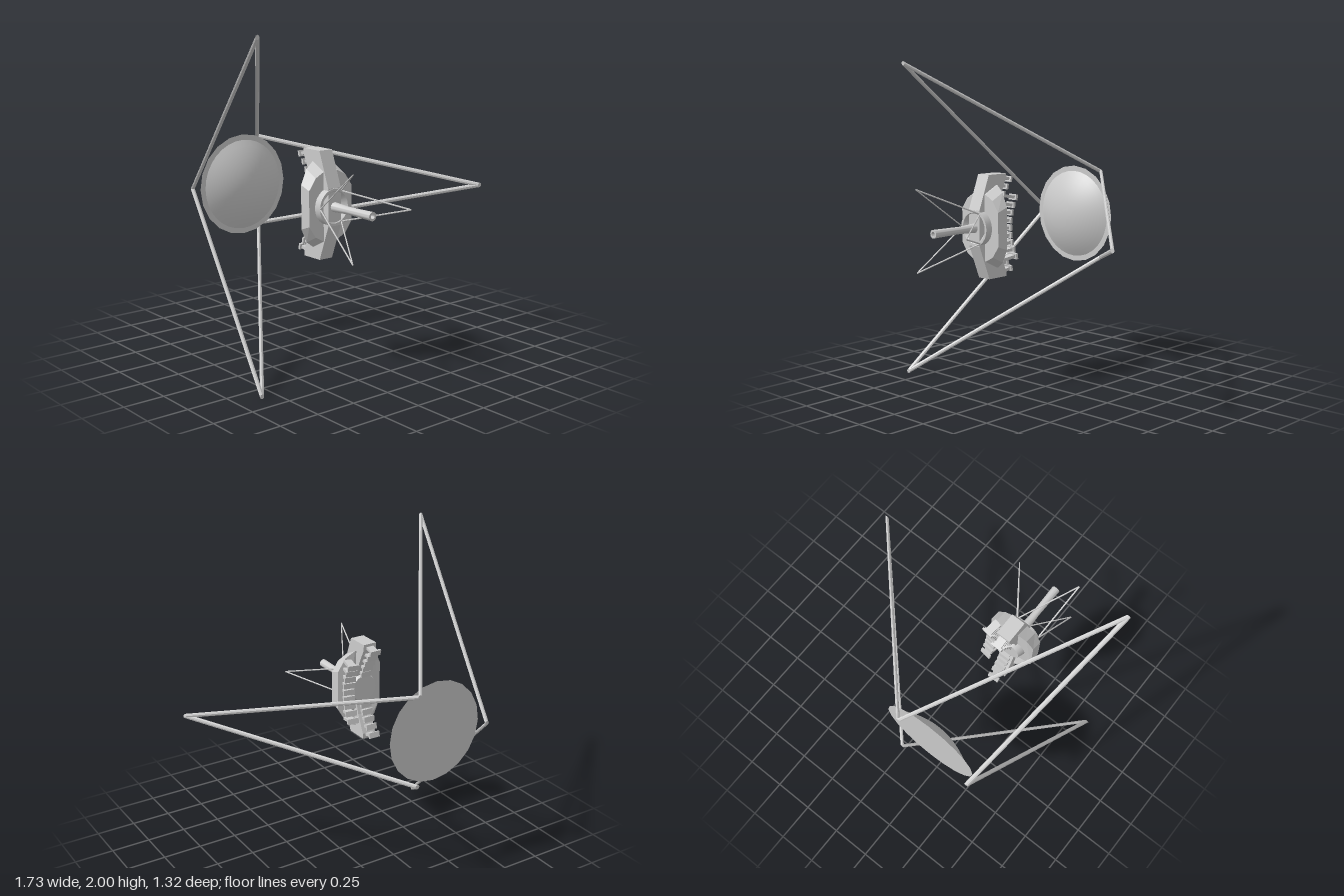
import * as THREE from 'three';
import { toCreasedNormals } from 'three/addons/utils/BufferGeometryUtils.js';

const grey = new THREE.MeshStandardMaterial({ color: 0xcccccc, side: THREE.DoubleSide });
grey.name = 'grey metal';

// centre line shared by the dish and the instrument
const AX = -0.285, AY = 1;

export function createModel() {
  const model = new THREE.Group();
  const add = (name, geometry, parent = model) => {
    const mesh = new THREE.Mesh(geometry, grey);
    mesh.name = name;
    parent.add(mesh);
  };
  const v = (x, y, z) => new THREE.Vector3(x, y, z);

  // sheared prism from back to front whose flat ends lie in planes of constant z
  const strut = (name, back, front, r, sides) => {
    const g = new THREE.CylinderGeometry(r, r, 1, sides).rotateX(Math.PI / 2);
    const p = g.attributes.position;
    for (let i = 0; i < p.count; i++) {
      const c = back.clone().lerp(front, p.getZ(i) + 0.5);
      p.setXYZ(i, p.getX(i) + c.x, p.getY(i) + c.y, c.z);
    }
    add(name, toCreasedNormals(g, 0.5));
  };

  // three V-shaped pairs of struts joining tips to a triangle of bases
  const tripod = (name, tips, bases, r, sides) => {
    [[0, 0], [0, 1], [1, 0], [1, 2], [2, 1], [2, 2]].forEach(
      ([t, b]) => strut(name, bases[b], tips[t], r, sides));
  };
  tripod('frameStrut',
    [v(-0.853, 1.986, 0.385), v(-0.853, 0.014, 0.385), v(0.848, 1, 0.385)],
    [v(-0.613, 1, -0.658), v(-0.118, 1.285, -0.658), v(-0.118, 0.715, -0.658)], 0.014, 8);
  tripod('antennaStrut',
    [v(-0.43, 1.25, 0.658), v(-0.43, 0.75, 0.658), v(0, 1, 0.658)],
    [v(-0.39, 1, 0.325), v(-0.235, 1.09, 0.325), v(-0.235, 0.91, 0.325)], 0.005, 6);

  // turned parts around the centre line
  const turned = (name, points, sides, crease) => {
    const g = new THREE.LatheGeometry(points.map(([r, z]) => new THREE.Vector2(r, z)), sides);
    add(name, toCreasedNormals(g.rotateX(Math.PI / 2).translate(AX, AY, 0), crease));
  };

  // bulging mirror and its thin flat backing disc
  const bulge = [];
  for (let i = 0; i <= 8; i++) {
    const r = 0.283 * (1 - i / 8);
    bulge.push([r, -0.583 + 0.09 * (1 - (r / 0.283) ** 2)]);
  }
  turned('mirror', bulge, 32, 0.7);
  add('mirrorBacking', new THREE.CircleGeometry(0.318, 20).translate(AX, AY, -0.585));

  // cupped hub with a hollow rod
  turned('hubAndRod', [
    [0, 0.16], [0.085, 0.16], [0.11, 0.23], [0.11, 0.33], [0.095, 0.33], [0.045, 0.27],
    [0.03, 0.3], [0.022, 0.45], [0.026, 0.655], [0.014, 0.655], [0.014, 0.6], [0, 0.6],
  ], 24, 0.6);

  // upright spine, concave towards the mirror
  const half = [[0.325, 0.11], [0.245, 0.32], [0.1, 0.32], [0.1, 0.285], [0.155, 0.17], [0.185, 0.07]];
  const profile = [...half, ...half.map(([z, y]) => [z, -y]).reverse()];
  const shapeOf = pts => new THREE.Shape(pts.map(([a, b]) => new THREE.Vector2(a, b)));
  const spine = new THREE.ExtrudeGeometry(shapeOf(profile), { depth: 0.092, bevelEnabled: false });
  add('spine', spine.rotateY(-Math.PI / 2).translate(AX + 0.046, AY, 0));

  // flank plate: front face shorter than the back, back thinning towards the sides
  const corner = [[0.157, 0.13], [0.11, 0.215], [0.05, 0.255]];
  const outline = [
    ...corner,
    ...corner.map(([x, y]) => [-x, y]).reverse(),
    ...corner.map(([x, y]) => [-x, -y]),
    ...corner.map(([x, y]) => [x, -y]).reverse(),
  ];
  const plate = new THREE.ExtrudeGeometry(shapeOf(outline), { depth: 1, bevelEnabled: false });
  const p = plate.attributes.position;
  for (let i = 0; i < p.count; i++) {
    if (p.getZ(i) > 0.5) {
      p.setY(i, p.getY(i) * 0.8);
      p.setZ(i, 0.283);
    } else {
      p.setZ(i, 0.17 + 0.25 * Math.abs(p.getX(i)));
    }
  }
  plate.computeVertexNormals();
  add('flankPlate', plate.translate(AX + 0.006, AY, 0));

  // flanged pins lying on a curve that faces the mirror
  const pin = (x, dy, lean) => {
    const group = new THREE.Group();
    group.name = 'pin';
    group.position.set(x, AY + dy, 0.15 - 1.5 * dy * dy);
    group.rotation.set(-dy * 0.9, lean, 0);
    add('pinFlange', new THREE.BoxGeometry(0.075, 0.036, 0.014).translate(0, 0, 0.007), group);
    add('pinStem', new THREE.BoxGeometry(0.05, 0.018, 0.085).translate(0, 0, 0.055), group);
    model.add(group);
  };
  for (const side of [1, -1]) {
    for (let i = 0; i < 5; i++) pin(AX, side * (0.105 + i * 0.043), 0);
  }
  for (let i = -4; i <= 4; i++) pin(AX + 0.118, i * 0.045, -0.15);

  return model;
}
